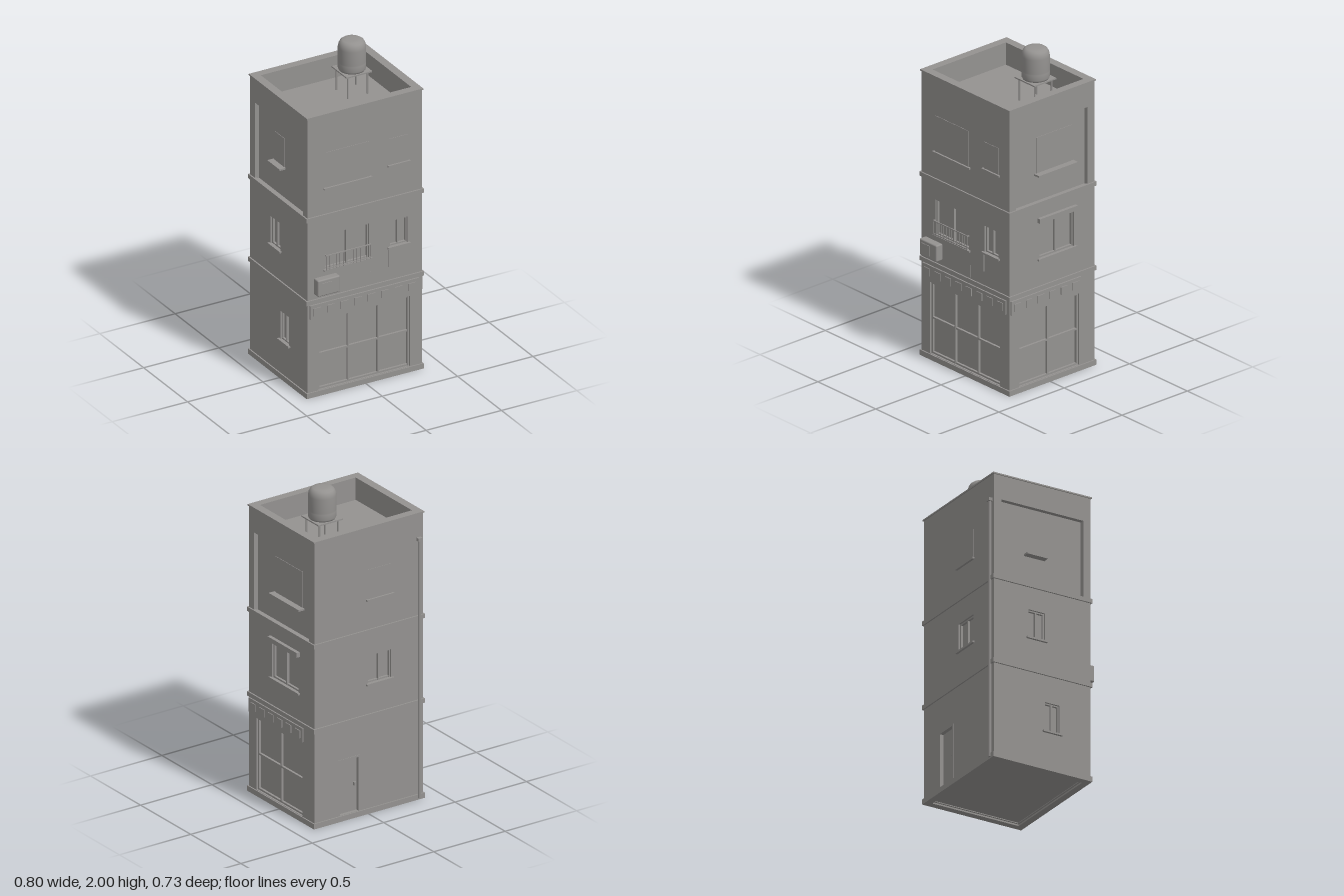
import * as THREE from 'three';
import { RoundedBoxGeometry } from 'three/addons/geometries/RoundedBoxGeometry.js';

const grey = new THREE.MeshStandardMaterial({ color: 0x949290 });
grey.name = 'concrete grey';

// Outer wall limits
const X0 = -0.385, X1 = 0.375, Z0 = -0.343, Z1 = 0.308;
const WALL = 0.045, TOP = 1.8, ROOF = 1.66;

function add(parent, name, geometry, x = 0, y = 0, z = 0) {
  const mesh = new THREE.Mesh(geometry, grey);
  mesh.name = name;
  mesh.position.set(x, y, z);
  parent.add(mesh);
  return mesh;
}

// Box given by its limits on each axis
function box(parent, name, x0, x1, y0, y1, z0, z1) {
  return add(parent, name, new THREE.BoxGeometry(x1 - x0, y1 - y0, z1 - z0),
    (x0 + x1) / 2, (y0 + y1) / 2, (z0 + z1) / 2);
}

function rect(target, u0, u1, y0, y1) {
  target.moveTo(u0, y0);
  target.lineTo(u1, y0);
  target.lineTo(u1, y1);
  target.lineTo(u0, y1);
  target.closePath();
  return target;
}

// Rectangular ring lying flat around the building
function ring(parent, name, y0, y1, out, inset) {
  const shape = rect(new THREE.Shape(), X0 - out, X1 + out, -Z1 - out, -Z0 + out);
  shape.holes.push(rect(new THREE.Path(), X0 + inset, X1 - inset, -Z1 + inset, -Z0 - inset));
  const geometry = new THREE.ExtrudeGeometry(shape, { depth: y1 - y0, bevelEnabled: false });
  geometry.rotateX(-Math.PI / 2);
  add(parent, name, geometry, 0, y0, 0);
}

// Wall with openings; local x runs along the wall and local z points outward
function wall(parent, name, u0, u1, holes) {
  const shape = rect(new THREE.Shape(), u0, u1, 0.01, TOP);
  holes.forEach(h => shape.holes.push(rect(new THREE.Path(), ...h)));
  add(parent, name, new THREE.ExtrudeGeometry(shape, { depth: WALL, bevelEnabled: false }), 0, 0, -WALL);
}

// Glazing set back in an opening, with an outer frame and bars
function glazing(parent, [u0, u1, y0, y1], cols, rows, bar = 0.011) {
  const g = new THREE.Group();
  g.name = 'window';
  box(g, 'pane', u0, u1, y0, y1, -0.035, -0.025);
  for (let i = 0; i <= cols; i++) {
    const u = u0 + bar / 2 + (u1 - u0 - bar) * i / cols;
    box(g, 'upright', u - bar / 2, u + bar / 2, y0, y1, -0.025, -0.01);
  }
  for (let j = 0; j <= rows; j++) {
    const y = y0 + bar / 2 + (y1 - y0 - bar) * j / rows;
    box(g, 'crossbar', u0, u1, y - bar / 2, y + bar / 2, -0.025, -0.011);
  }
  parent.add(g);
}

function sill(parent, u0, u1, y, back = 0) {
  box(parent, 'sill', u0 - 0.014, u1 + 0.014, y - 0.008, y + 0.003, back, 0.014);
}

// Bricked-up window: thin raised plate with a sill
function blindWindow(parent, u0, u1, y0, y1, face = 0) {
  box(parent, 'blindWindow', u0, u1, y0, y1, face - 0.002, face + 0.003);
  sill(parent, u0, u1, y0, face);
}

// Fascia board above a shop window with plain plates along it
function fascia(parent, u0, u1, plates) {
  box(parent, 'fascia', u0, u1, 0.505, 0.592, -0.005, 0.009);
  const step = (u1 - u0) / plates;
  for (let i = 0; i < plates; i++) {
    const u = u0 + step * (i + 0.5);
    box(parent, 'fasciaPlate', u - 0.025, u + 0.025, 0.525, 0.572, 0.008, 0.014);
  }
}

function side(parent, name, x, z, angle) {
  const g = new THREE.Group();
  g.name = name;
  g.position.set(x, 0, z);
  g.rotation.y = angle;
  parent.add(g);
  return g;
}

export function createModel() {
  const model = new THREE.Group();
  model.name = 'cornerBuilding';

  // Front side
  const front = side(model, 'frontSide', 0, Z1, 0);
  const frontShop = [-0.31, 0.295, 0.035, 0.485];
  const frontWide = [-0.265, 0.025, 0.8, 1.02];
  const frontSmall = [0.16, 0.28, 0.835, 1.0];
  wall(front, 'frontWall', X0, X1, [frontShop, frontWide, frontSmall]);
  glazing(front, frontShop, 3, 2);
  glazing(front, frontWide, 2, 1, 0.008);
  glazing(front, frontSmall, 2, 1, 0.008);
  sill(front, -0.265, 0.025, 0.798);
  sill(front, 0.16, 0.28, 0.833);
  blindWindow(front, -0.265, 0.025, 1.322, 1.55);
  blindWindow(front, 0.16, 0.28, 1.36, 1.53);
  fascia(front, -0.37, 0.35, 8);

  // Window railing
  for (const y of [0.81, 0.892]) box(front, 'rail', -0.268, 0.028, y - 0.003, y + 0.003, 0.012, 0.018);
  for (let i = 0; i <= 13; i++) {
    const u = -0.266 + 0.292 * i / 13;
    box(front, 'railBar', u - 0.002, u + 0.002, 0.8, 0.892, 0.013, 0.017);
  }
  for (const u of [-0.266, 0.026]) box(front, 'railBracket', u - 0.003, u + 0.003, 0.888, 0.894, 0, 0.015);

  // Air conditioner and thin wall pipes
  add(front, 'airConditioner', new RoundedBoxGeometry(0.148, 0.104, 0.05, 2, 0.008), -0.271, 0.713, 0.028);
  box(front, 'airConditionerGrille', -0.32, -0.255, 0.68, 0.745, 0.05, 0.057);
  box(front, 'wallPipe', 0.153, 0.157, 0.71, 0.83, 0, 0.004);
  box(front, 'wallPipe', 0.033, 0.037, 0.63, 0.71, 0, 0.004);

  // Right-hand side (+x): local x equals -z
  const right = side(model, 'shopSide', X1, 0, Math.PI / 2);
  const sideShop = [-0.235, 0.225, 0.035, 0.485];
  const sideWindow = [-0.08, 0.185, 0.795, 1.02];
  const rightRecess = [-0.26, 0.29, 1.15, 1.64];
  wall(right, 'shopSideWall', -Z1, -Z0, [sideShop, sideWindow, rightRecess]);
  glazing(right, sideShop, 2, 2);
  glazing(right, sideWindow, 2, 1, 0.01);
  sill(right, -0.08, 0.185, 0.795);
  box(right, 'windowHood', -0.093, 0.198, 1.026, 1.055, 0, 0.022);
  box(right, 'recessedPanel', ...rightRecess, -0.045, -0.028);
  blindWindow(right, -0.08, 0.19, 1.322, 1.55, -0.028);
  fascia(right, -0.3, 0.235, 6);

  // Back side: local x equals -x
  const back = side(model, 'backSide', 0, Z0, Math.PI);
  const door = [-0.21, -0.055, 0.035, 0.385];
  const backWindow = [0.0, 0.162, 0.815, 0.99];
  wall(back, 'backWall', -X1, -X0, [door, backWindow]);
  glazing(back, backWindow, 2, 1, 0.009);
  sill(back, 0.0, 0.162, 0.813);
  blindWindow(back, 0.0, 0.162, 1.343, 1.53);
  box(back, 'doorLeaf', -0.21, -0.055, 0.035, 0.385, -0.035, -0.02);
  for (const u of [-0.21, -0.067]) box(back, 'doorJamb', u, u + 0.012, 0.035, 0.385, -0.025, 0.003);
  box(back, 'doorHead', -0.21, -0.055, 0.373, 0.385, -0.025, 0.003);
  box(back, 'doorHandle', -0.09, -0.076, 0.195, 0.215, -0.02, -0.006);

  // Left-hand side (-x): local x equals z
  const left = side(model, 'plainSide', X0, 0, -Math.PI / 2);
  const lowWindow = [0.0, 0.1, 0.248, 0.43];
  const midWindow = [-0.11, 0.0, 0.815, 0.99];
  const leftRecess = [-0.29, 0.26, 1.15, 1.64];
  wall(left, 'plainSideWall', Z0, Z1, [lowWindow, midWindow, leftRecess]);
  glazing(left, lowWindow, 2, 1, 0.008);
  glazing(left, midWindow, 2, 1, 0.008);
  sill(left, 0.0, 0.1, 0.247);
  sill(left, -0.11, 0.0, 0.813);
  box(left, 'recessedPanel', ...leftRecess, -0.045, -0.028);
  blindWindow(left, -0.11, 0.0, 1.343, 1.53, -0.028);

  // Plinth, floor bands and parapet coping
  ring(model, 'plinth', 0, 0.033, 0.008, 0.035);
  ring(model, 'lowerBand', 0.598, 0.625, 0.009, 0.01);
  ring(model, 'upperBand', 1.13, 1.156, 0.009, 0.01);
  ring(model, 'coping', 1.791, TOP, 0.006, WALL);

  // Ground and roof slabs
  box(model, 'groundSlab', X0 + 0.01, X1 - 0.01, 0.015, 0.03, Z0 + 0.01, Z1 - 0.01);
  box(model, 'roofSlab', X0 + 0.02, X1 - 0.02, ROOF - 0.02, ROOF, Z0 + 0.02, Z1 - 0.02);

  // Downpipe with a collector head
  add(model, 'downpipe', new THREE.CylinderGeometry(0.009, 0.009, 1.62, 10), -0.354, 0.82, Z0 - 0.009);
  box(model, 'downpipeHead', -0.368, -0.34, 1.625, 1.645, Z0 - 0.022, Z0);

  // Rooftop water tank on a stand
  const tank = new THREE.Group();
  tank.name = 'waterTank';
  tank.position.set(0.146, 0, -0.095);
  model.add(tank);
  const profile = [[0, 1.808], [0.076, 1.808], [0.082, 1.82], [0.082, 1.855], [0.079, 1.859], [0.082, 1.863],
    [0.082, 1.95], [0.078, 1.972], [0.069, 1.988], [0.056, 1.997], [0.03, 2], [0, 2]];
  add(tank, 'tankBody', new THREE.LatheGeometry(profile.map(p => new THREE.Vector2(...p)), 32));
  box(tank, 'tankPlatform', -0.085, 0.085, 1.8, 1.808, -0.085, 0.085);
  for (const x of [-0.065, 0.065]) for (const z of [-0.065, 0.065])
    add(tank, 'tankLeg', new THREE.CylinderGeometry(0.005, 0.005, 1.8 - ROOF, 8), x, (1.8 + ROOF) / 2, z);

  return model;
}
